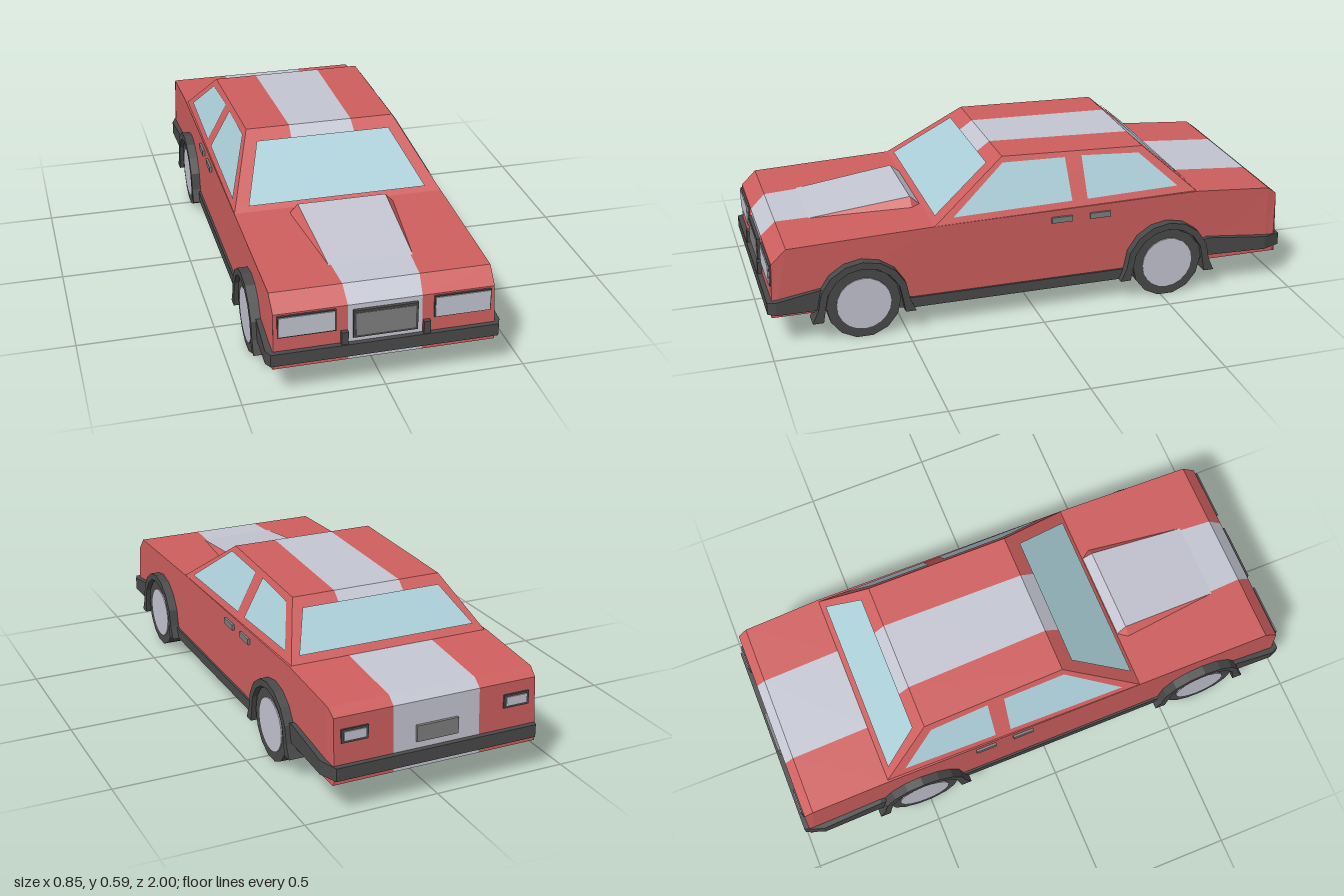
import * as THREE from 'three';

const mat = (name, color) => {
  const m = new THREE.MeshStandardMaterial({ color, flatShading: true, side: THREE.DoubleSide });
  m.name = name;
  return m;
};

export function createModel() {
  const car = new THREE.Group();
  car.name = 'car';
  const red = mat('red paint', 0xcf5f5f);
  const silver = mat('silver', 0xc4c6d2);
  const glass = mat('glass', 0xabced8);
  const dark = mat('dark trim', 0x4a4a4a);
  const grey = mat('grey', 0x808080);

  const add = (name, geometry, material, parent = car) => {
    const mesh = new THREE.Mesh(geometry, material);
    mesh.name = name;
    parent.add(mesh);
    return mesh;
  };
  // Flat faces from convex polygons, corners counter-clockwise from outside
  const faces = (polys) => {
    const pos = [];
    for (const p of polys)
      for (let i = 1; i < p.length - 1; i++) pos.push(...p[0], ...p[i], ...p[i + 1]);
    const g = new THREE.BufferGeometry();
    g.setAttribute('position', new THREE.Float32BufferAttribute(pos, 3));
    g.computeVertexNormals();
    return g;
  };
  const mirror = (p) => p.map(([x, y, z]) => [-x, y, z]).reverse();
  const box = (name, w, h, d, x, y, z, m) =>
    add(name, new THREE.BoxGeometry(w, h, d), m).position.set(x, y, z);
  // Quad across the car between two stations, from x0/x1 at a to x0/x1 at b
  const across = (a, b, ax0, ax1, bx0, bx1) =>
    [[ax0, a.y, a.z], [ax1, a.y, a.z], [bx1, b.y, b.z], [bx0, b.y, b.z]];
  const station = ([z, y, w, s]) => ({ z, y, w, s });

  const paint = [], stripe = [];
  // Painted skin with a centre stripe between two stations
  const skin = (a, b, striped = true) => {
    const side = across(a, b, a.s, a.w, b.s, b.w);
    paint.push(side, mirror(side));
    (striped ? stripe : paint).push(across(a, b, -a.s, a.s, -b.s, b.s));
  };

  // Lower body: nose, hood, deck, tail
  const lower = [
    [0.985, 0.12, 0.388, 0.13], [0.975, 0.325, 0.386, 0.13], [0.92, 0.378, 0.388, 0.135],
    [0.385, 0.397, 0.392, 0.165], [-0.64, 0.41, 0.392, 0.165], [-0.94, 0.387, 0.39, 0.165],
    [-0.975, 0.36, 0.386, 0.165], [-0.985, 0.12, 0.386, 0.165],
  ].map(station);
  for (let i = 0; i < lower.length - 1; i++) {
    const a = lower[i], b = lower[i + 1];
    skin(a, b, i !== 3);
    const side = [[0.392, 0.12, a.z], [0.392, 0.12, b.z], [b.w, b.y, b.z], [a.w, a.y, a.z]];
    paint.push(side, mirror(side));
  }

  // Cabin: sloped screens, roof and leaning sides
  const sideX = (y) => 0.392 - 0.535 * (y - 0.395);
  const frontZ = (y) => 0.385 - 1.425 * (y - 0.395);
  const rearZ = (y) => -0.64 + 1.118 * (y - 0.41);
  const cabin = [
    [frontZ(0.395), 0.395, 0.392, 0.13], [frontZ(0.42), 0.42, sideX(0.42), 0.13],
    [frontZ(0.596), 0.596, sideX(0.596), 0.12], [rearZ(0.58), 0.58, sideX(0.58), 0.13],
    [rearZ(0.44), 0.44, sideX(0.44), 0.13], [rearZ(0.408), 0.408, sideX(0.408), 0.13],
  ].map(station);
  for (let i = 0; i < cabin.length - 1; i++) skin(cabin[i], cabin[i + 1], i > 0 && i < 4);
  const cabinSide = [0, 5, 4, 3, 2, 1].map((i) => [cabin[i].w, cabin[i].y, cabin[i].z]);
  paint.push(cabinSide, mirror(cabinSide));

  // Raised hood centre
  const cheek = [[0.15, 0.382, 0.8], [0.2, 0.39, 0.42], [0.165, 0.428, 0.42]];
  const heel = [[0.2, 0.39, 0.42], [0.17, 0.397, 0.385], [0.165, 0.428, 0.42]];
  paint.push(cheek, mirror(cheek), heel, mirror(heel));
  stripe.push(
    [[-0.15, 0.382, 0.8], [0.15, 0.382, 0.8], [0.165, 0.428, 0.42], [-0.165, 0.428, 0.42]],
    [[-0.165, 0.428, 0.42], [0.165, 0.428, 0.42], [0.17, 0.397, 0.385], [-0.17, 0.397, 0.385]]);
  add('bodyPaint', faces(paint), red);
  add('bodyStripe', faces(stripe), silver);

  // Windows just outside the cabin planes
  const e = 0.004;
  const screen = (rows, zAt, dz) => rows.map(([x, y]) => [x, y + e, zAt(y) + dz]);
  add('windshield', faces([screen(
    [[-0.335, 0.41], [0.335, 0.41], [0.255, 0.563], [-0.255, 0.563]], frontZ, e)]), glass);
  add('rearWindow', faces([screen(
    [[0.345, 0.43], [-0.345, 0.43], [-0.272, 0.548], [0.272, 0.548]], rearZ, -e)]), glass);
  const sideWindows = {
    frontSideWindow: [[0.31, 0.42], [-0.145, 0.428], [-0.14, 0.572], [0.1, 0.577]],
    rearSideWindow: [[-0.205, 0.428], [-0.565, 0.436], [-0.43, 0.56], [-0.205, 0.572]],
  };
  for (const [name, pts] of Object.entries(sideWindows)) {
    const pane = pts.map(([z, y]) => [sideX(y) + e, y, z]);
    add(name + 'Left', faces([pane]), glass);
    add(name + 'Right', faces([mirror(pane)]), glass);
  }

  // Bumpers, sills and floor as one loft: z, half width, top, bottom
  const base = [
    [1.0, 0.4, 0.186, 0.14], [0.97, 0.413, 0.187, 0.137], [0.81, 0.408, 0.212, 0.133],
    [0.47, 0.4, 0.13, 0.09], [-0.36, 0.4, 0.13, 0.09], [-0.69, 0.408, 0.217, 0.145],
    [-0.93, 0.412, 0.192, 0.14], [-1.0, 0.385, 0.188, 0.14],
  ];
  const trim = [];
  const ring = ([z, w, t, b]) => [[-w, b, z], [w, b, z], [w, t, z], [-w, t, z]];
  base.slice(0, -1).forEach((s, i) => {
    const a = ring(s), b = ring(base[i + 1]);
    for (let k = 0; k < 4; k++) {
      const n = (k + 1) % 4;
      trim.push([a[n], a[k], b[k], b[n]]);
    }
  });
  trim.push(ring(base[0]), ring(base[7]).reverse());
  add('bumpersAndFloor', faces(trim), dark);

  // Wheels and flared arches
  const arc = (r, n, from, to) => Array.from({ length: n + 1 }, (_, i) => {
    const t = from + (to - from) * i / n;
    return new THREE.Vector2(Math.cos(t) * r, Math.sin(t) * r);
  });
  const V = (x, y) => new THREE.Vector2(x, y);
  const extrudeX = (points, x0, x1) => {
    const g = new THREE.ExtrudeGeometry(new THREE.Shape(points), { depth: x1 - x0, bevelEnabled: false });
    return g.translate(0, 0, x0).rotateY(Math.PI / 2);
  };
  for (const s of [1, -1]) {
    const label = s > 0 ? 'Left' : 'Right';
    for (const [end, z] of [['front', 0.655], ['rear', -0.52]]) {
      const wheel = new THREE.Group();
      wheel.name = end + 'Wheel' + label;
      wheel.position.set(0, 0.14, z);
      car.add(wheel);
      const tyre = new THREE.CylinderGeometry(0.137, 0.137, 0.1, 14).rotateZ(Math.PI / 2);
      add('tyre', tyre, dark, wheel).position.x = s * 0.361;
      const hub = new THREE.CylinderGeometry(0.1, 0.1, 0.008, 20).rotateZ(Math.PI / 2);
      add('hubcap', hub, silver, wheel).position.x = s * 0.411;
      const outer = arc(0.168, 8, 0, Math.PI), inner = arc(0.142, 8, Math.PI, 0);
      // The arch legs splay outwards down to the sill
      const band = [V(0.19, -0.05), ...outer, V(-0.19, -0.05), V(-0.15, -0.05), ...inner, V(0.15, -0.05)];
      const x0 = s > 0 ? 0.36 : -0.426;
      add('wheelArch', extrudeX(band, x0, x0 + 0.066), dark, wheel);
      const w0 = s > 0 ? 0.32 : -0.396;
      add('wheelWell', extrudeX(arc(0.15, 8, 0, Math.PI), w0, w0 + 0.076), dark, wheel);
    }
    // Lamps, bumper guards and door handles
    box('headlightFrame' + label, 0.202, 0.082, 0.008, s * 0.272, 0.278, 0.979, dark);
    box('headlight' + label, 0.194, 0.074, 0.009, s * 0.272, 0.278, 0.982, silver);
    box('bumperGuard' + label, 0.024, 0.06, 0.025, s * 0.144, 0.203, 0.984, dark);
    box('tailLightFrame' + label, 0.1, 0.05, 0.008, s * 0.31, 0.292, -0.979, dark);
    box('tailLight' + label, 0.082, 0.034, 0.009, s * 0.31, 0.292, -0.982, silver);
    for (const z of [-0.1, -0.25])
      box('doorHandle' + label, 0.014, 0.022, 0.08, s * 0.394, 0.366, z, grey);
  }

  // Grille and rear plate
  box('grilleFrame', 0.226, 0.104, 0.016, 0, 0.255, 0.98, dark);
  box('grille', 0.208, 0.086, 0.008, 0, 0.255, 0.986, grey);
  box('rearPlate', 0.16, 0.06, 0.014, 0, 0.245, -0.982, grey);
  return car;
}
